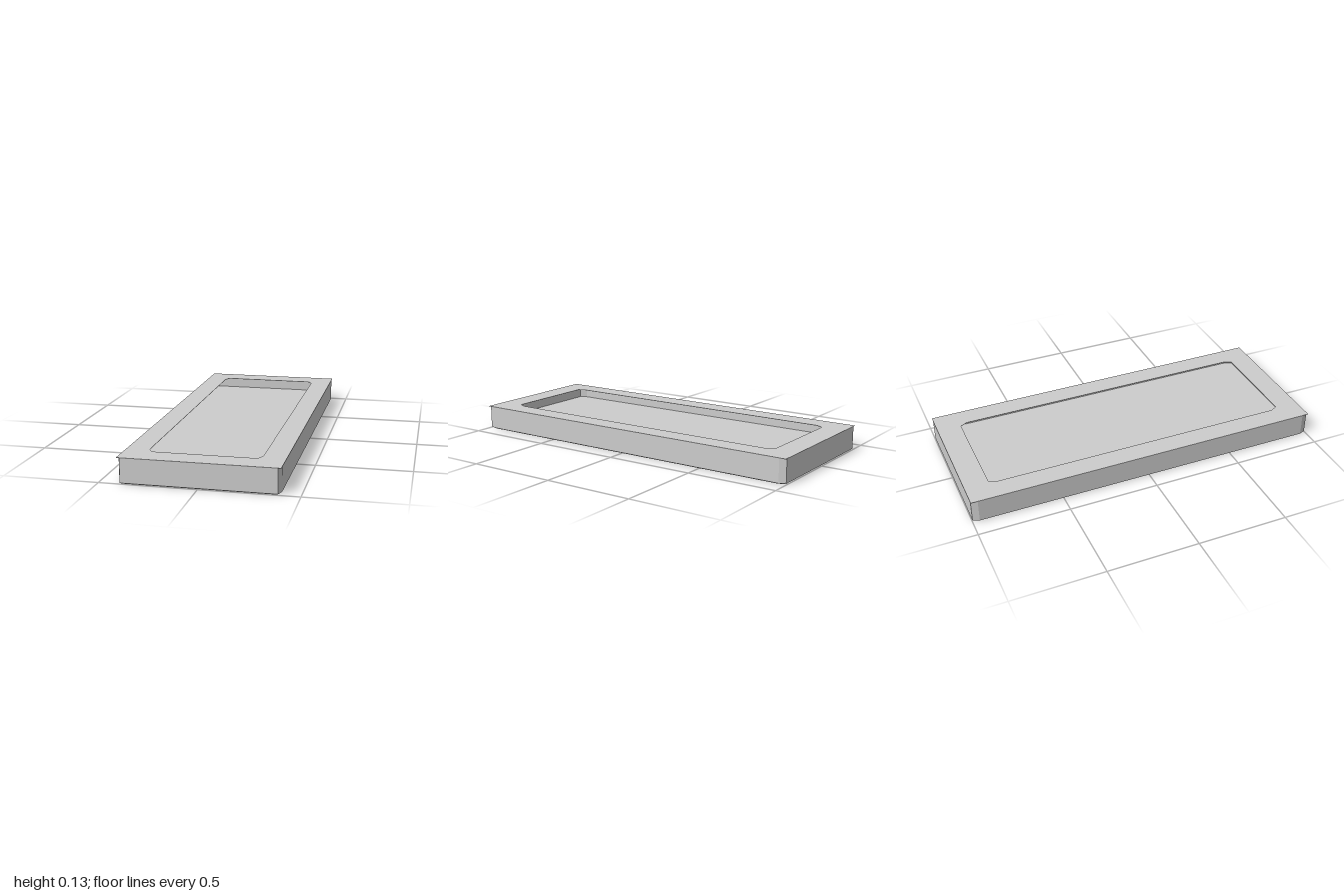
import * as THREE from 'three';

// Rectangle with clipped corners, counter-clockwise, as [x, z] pairs
function clippedRect(hx, hz, cx, cz) {
  return [
    [hx, hz - cz], [hx, -hz + cz], [hx - cx, -hz], [-hx + cx, -hz],
    [-hx, -hz + cz], [-hx, hz - cz], [-hx + cx, hz], [hx - cx, hz],
  ];
}

// Flat-faced surface through a stack of rings
function loft(rings) {
  const pos = [];
  for (let k = 0; k < rings.length - 1; k++) {
    const a = rings[k], b = rings[k + 1], n = a.length;
    for (let i = 0; i < n; i++) {
      const j = (i + 1) % n;
      for (const p of [a[i], a[j], b[j], a[i], b[j], b[i]]) pos.push(...p);
    }
  }
  const geo = new THREE.BufferGeometry();
  geo.setAttribute('position', new THREE.Float32BufferAttribute(pos, 3));
  geo.computeVertexNormals();
  return geo;
}

export function createModel() {
  const group = new THREE.Group();
  group.name = 'shallowTray';
  const grey = new THREE.MeshStandardMaterial({ color: 0xcccccc });
  grey.name = 'lightGrey';

  const height = 0.134, rim = 0.002, floorY = 0.067;
  const ring = (y, ...size) => clippedRect(...size).map(([x, z]) => [x, y, z]);

  // Body: underside, bevelled foot, outer walls, then the cavity down to its floor
  const body = new THREE.Mesh(loft([
    ring(0, 0, 0, 0, 0),
    ring(0, 0.396, 0.99, 0.014, 0.035),
    ring(0.005, 0.404, 0.998, 0.014, 0.035),
    ring(height - rim, 0.404, 0.998, 0.014, 0.035),
    ring(height - rim, 0.37, 0.92, 0.02, 0.04),
    ring(floorY, 0.37, 0.92, 0.02, 0.04),
    ring(floorY, 0, 0, 0, 0),
  ]), grey);
  body.name = 'body';
  group.add(body);

  // Rim: thin square-cornered sheet with a clipped opening
  const sheet = new THREE.Shape(
    [[-0.405, -1], [0.405, -1], [0.405, 1], [-0.405, 1]].map(p => new THREE.Vector2(...p)));
  sheet.holes.push(new THREE.Path(
    clippedRect(0.287, 0.867, 0.02, 0.04).map(p => new THREE.Vector2(...p))));
  const rimGeo = new THREE.ExtrudeGeometry(sheet, { depth: rim, bevelEnabled: false });
  rimGeo.rotateX(-Math.PI / 2);
  rimGeo.translate(0, height - rim, 0);
  const rimMesh = new THREE.Mesh(rimGeo, grey);
  rimMesh.name = 'rim';
  group.add(rimMesh);

  return group;
}
